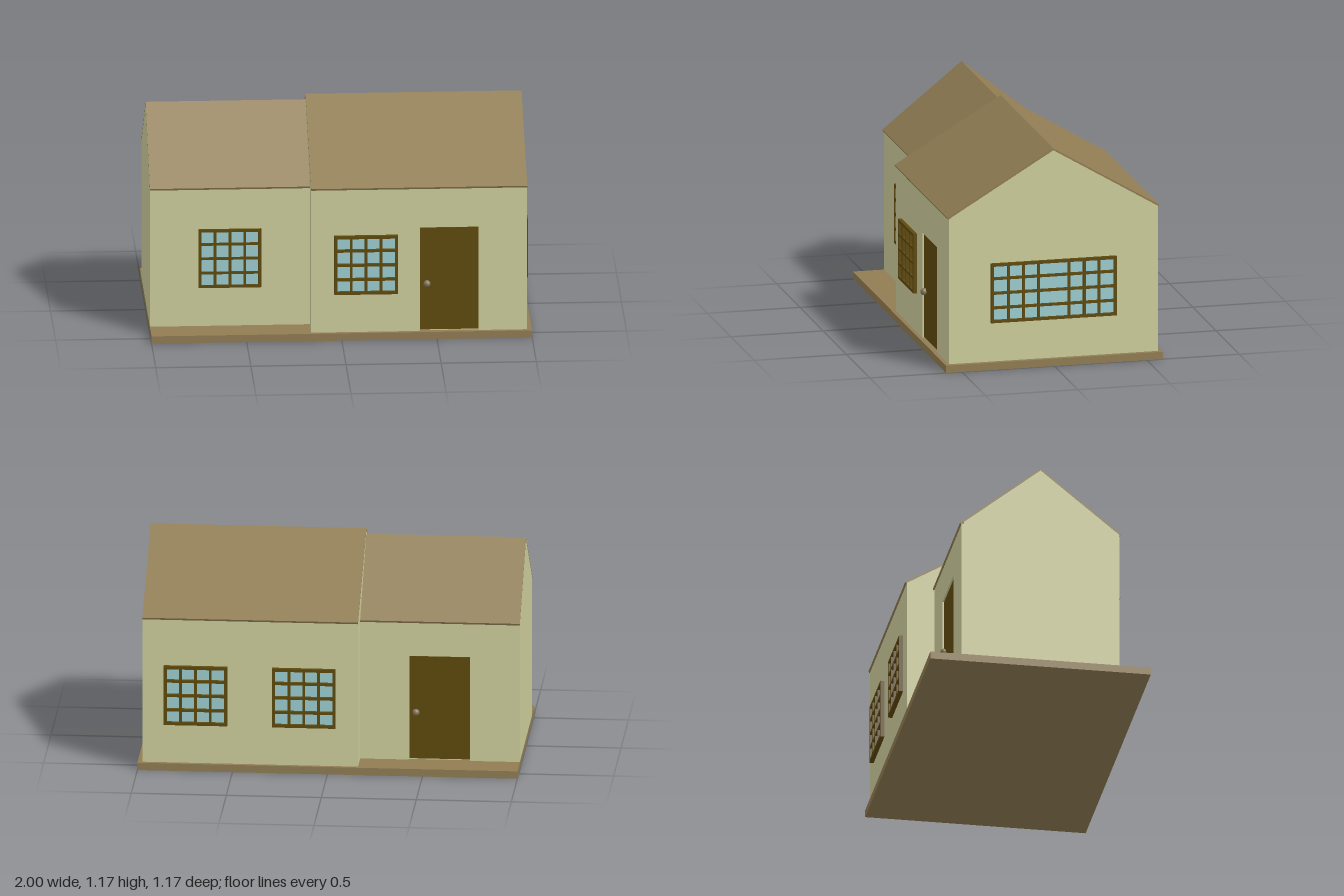
import * as THREE from 'three';

const mat = (name, color) => Object.assign(new THREE.MeshStandardMaterial({ color }), { name });

export function createModel() {
  const wallMat = mat('cream wall', 0xcfcf9d);
  const roofMat = mat('tan roof', 0x917d53);
  const woodMat = mat('dark wood', 0x5f4a0c);
  const glassMat = mat('pale blue glass', 0x9dcfd1);
  const knobMat = mat('knob', 0x85765a);
  const BASE = 0.04, SKIN = 0.012;

  const model = new THREE.Group();
  model.name = 'house';

  const add = (parent, name, geo, material, x = 0, y = 0, z = 0) => {
    const m = new THREE.Mesh(geo, material);
    m.name = name;
    m.position.set(x, y, z);
    parent.add(m);
    return m;
  };
  const polygon = pts => new THREE.Shape(pts.map(p => new THREE.Vector2(...p)));
  const extrude = (shape, depth) => new THREE.ExtrudeGeometry(shape, { depth, bevelEnabled: false });
  // Extrudes a [z, y] profile along x
  const alongX = (pts, x0, x1) =>
    extrude(polygon(pts.map(([z, y]) => [-z, y])), x1 - x0).rotateY(Math.PI / 2).translate(x0, 0, 0);

  // Gabled block whose door sits recessed in its +z wall
  function gabledBlock(name, { x0, x1, half, eave, ridge, door: [d0, d1] }) {
    const g = new THREE.Group();
    g.name = name;
    const inner = half - SKIN;
    const innerEave = eave + (ridge - eave) * SKIN / half;
    add(g, 'walls', alongX([[inner, BASE], [inner, innerEave], [0, ridge], [-half, eave], [-half, BASE]], x0, x1), wallMat);

    // Front wall layer with a doorway notch
    const top = 0.61;
    add(g, 'frontWall', extrude(polygon([
      [x0, BASE], [d0, BASE], [d0, top], [d1, top], [d1, BASE], [x1, BASE], [x1, eave], [x0, eave],
    ]), SKIN), wallMat, 0, 0, inner);

    // Thin folded roof
    const e = half + 0.008;
    add(g, 'roof', alongX([
      [e, eave + 0.006], [0, ridge + 0.01], [-e, eave + 0.006],
      [-e + 0.004, eave - 0.004], [0, ridge - 0.001], [e - 0.004, eave - 0.004],
    ], x0, x1), roofMat);

    // Door and knob
    const bottom = BASE + 0.006;
    add(g, 'door', new THREE.BoxGeometry(d1 - d0 - 0.006, top - bottom - 0.004, 0.006), woodMat,
      (d0 + d1) / 2, (top + bottom) / 2 - 0.002, inner + 0.002);
    add(g, 'doorKnob', new THREE.SphereGeometry(0.019, 20, 14), knobMat, d0 + 0.038, 0.3, half + 0.001);
    model.add(g);
    return g;
  }

  // Window facing +z, centred on its origin; cuts are the bar positions across it
  function windowUnit(name, w, cuts, depth, pos, turn) {
    const g = new THREE.Group();
    g.name = name;
    const h = 0.322, border = 0.016, bar = 0.007;
    const hw = w / 2, hh = h / 2;
    const spans = (half, bars) => {
      const edges = [-half + border - bar, ...bars, half - border + bar];
      return edges.slice(1).map((e, i) => [edges[i] + bar, e - bar]);
    };
    const shape = polygon([[-hw, -hh], [hw, -hh], [hw, hh], [-hw, hh]]);
    for (const [a, b] of spans(hw, cuts))
      for (const [c, d] of spans(hh, [-0.079, 0, 0.079]))
        shape.holes.push(new THREE.Path([[a, c], [a, d], [b, d], [b, c]].map(p => new THREE.Vector2(...p))));
    add(g, 'frame', extrude(shape, depth), woodMat);
    add(g, 'glass', new THREE.BoxGeometry(w - 0.01, h - 0.01, 0.004), glassMat, 0, 0, 0.002);
    g.position.set(...pos);
    g.rotation.y = turn;
    model.add(g);
  }

  // Foundation slab
  add(model, 'foundation', new THREE.BoxGeometry(2, BASE, 1.174), roofMat, 0, BASE / 2, 0);

  // Main block with front door; lower wing turned so its door faces the back
  gabledBlock('mainBlock', { x0: -0.16, x1: 0.975, half: 0.566, eave: 0.827, ridge: 1.165, door: [0.41, 0.722] });
  gabledBlock('wing', { x0: 0.16, x1: 1, half: 0.42, eave: 0.795, ridge: 1.135, door: [0.415, 0.74] }).rotation.y = Math.PI;

  // Windows
  const Y = 0.412, small = [-0.078, 0, 0.078];
  windowUnit('wingWindow', 0.33, small, 0.01, [-0.58, Y, 0.42], 0);
  windowUnit('frontWindow', 0.335, small, 0.02, [0.128, Y, 0.566], 0);
  for (const x of [0.125, 0.695])
    windowUnit('backWindow', 0.335, small, 0.022, [x, Y, -0.566], Math.PI);
  windowUnit('sideWindow', 0.68, [-0.245, -0.165, -0.083, 0.083, 0.165, 0.245], 0.016, [0.975, Y, 0], Math.PI / 2);

  return model;
}
